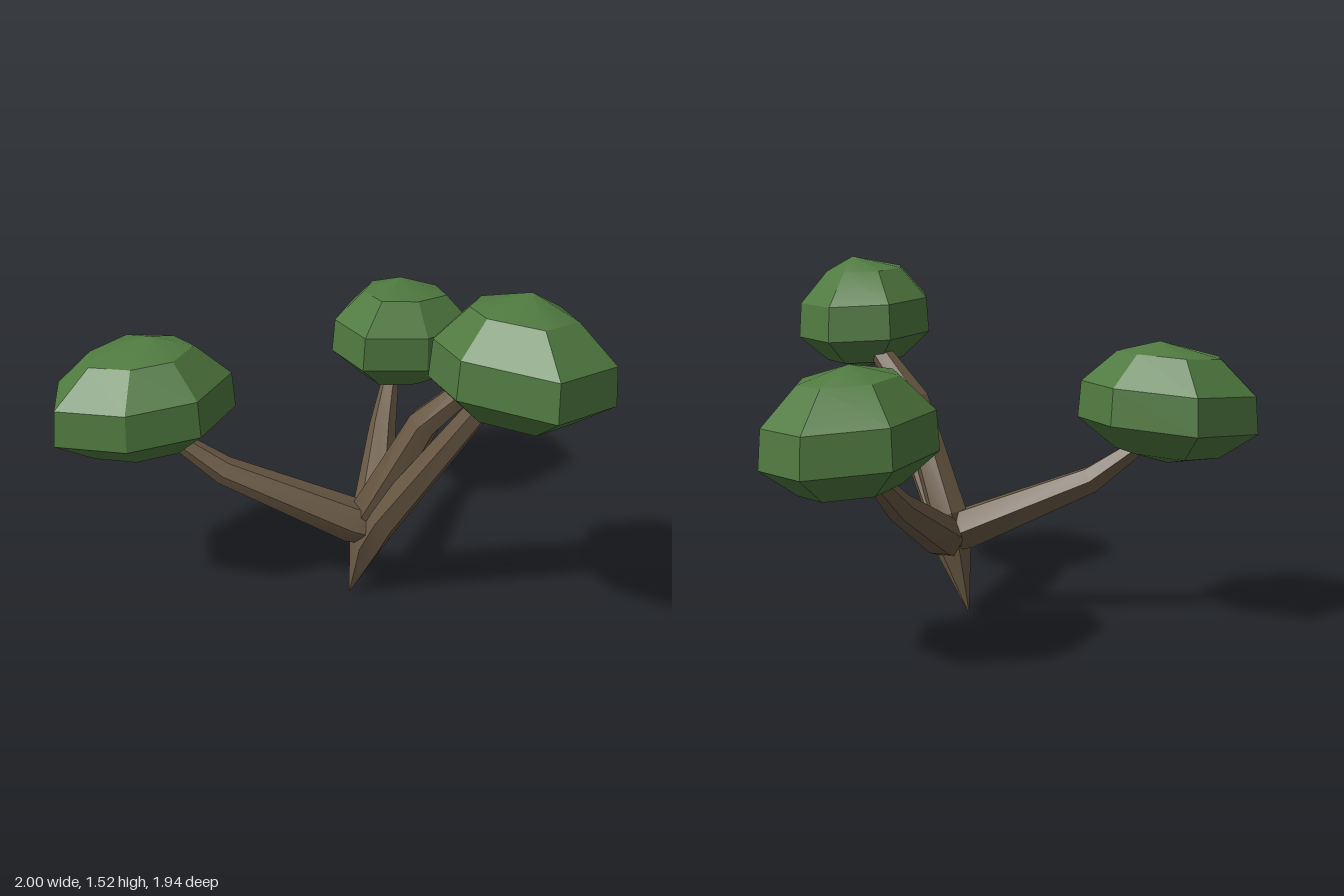
import * as THREE from 'three';
import { toCreasedNormals } from 'three/addons/utils/BufferGeometryUtils.js';

// Skin a stack of equal-sized rings, closed with a point at each end
function loft(rings, bottom, top) {
  const n = rings[0].length;
  const pts = [...rings.flat(), bottom, top];
  const index = [];
  const last = (rings.length - 1) * n;
  for (let i = 0; i < n; i++) {
    const j = (i + 1) % n;
    for (let r = 0; r < rings.length - 1; r++) {
      const a = r * n + i, b = r * n + j, c = b + n, d = a + n;
      index.push(a, d, c, a, c, b);
    }
    index.push(pts.length - 2, i, j, pts.length - 1, last + j, last + i);
  }
  const g = new THREE.BufferGeometry();
  g.setAttribute('position', new THREE.Float32BufferAttribute(pts.flatMap(p => p.toArray()), 3));
  g.setIndex(index);
  return g;
}

// Faceted limb along a path of [x, y, z, radius]
function limb(path, sides = 6) {
  const pts = path.map(p => new THREE.Vector3(p[0], p[1], p[2]));
  const last = pts.length - 1;
  const rings = pts.map((p, k) => {
    const t = pts[Math.min(k + 1, last)].clone().sub(pts[Math.max(k - 1, 0)]).normalize();
    const u = new THREE.Vector3(0, 1, 0).addScaledVector(t, -t.y).normalize();
    const v = u.clone().cross(t);
    return Array.from({ length: sides }, (_, i) => {
      const a = (i + 0.5) / sides * Math.PI * 2;
      return p.clone()
        .addScaledVector(u, Math.cos(a) * path[k][3])
        .addScaledVector(v, Math.sin(a) * path[k][3]);
    });
  });
  return toCreasedNormals(loft(rings, pts[0], pts[last]), 0.3);
}

// Leaf clump: a seven-sided outline [x, z] repeated at several heights and scales
function clump({ outline, centre, crown, base, tilt }) {
  const levels = [[0.58, 0.045], [1, 0.16], [0.965, 0.31], [0.57, 0.445]];
  const rings = levels.map(([s, h]) => outline.map(([x, z]) => {
    const dx = (x - centre[0]) * s, dz = (z - centre[1]) * s;
    return new THREE.Vector3(centre[0] + dx, base + h + dx * tilt[0] + dz * tilt[1], centre[1] + dz);
  }));
  return toCreasedNormals(loft(rings,
    new THREE.Vector3(centre[0], base, centre[1]),
    new THREE.Vector3(crown[0], base + 0.5, crown[1])), 0.45);
}

export function createModel() {
  const bark = new THREE.MeshStandardMaterial({ color: 0x6b5a45 });
  bark.name = 'bark brown';
  const leaf = new THREE.MeshStandardMaterial({ color: 0x507a40 });
  leaf.name = 'leaf green';

  const tree = new THREE.Group();
  tree.name = 'tree';
  const add = (name, geometry, material) => {
    const mesh = new THREE.Mesh(geometry, material);
    mesh.name = name;
    tree.add(mesh);
  };

  // Trunk rises from a pointed foot and leans into the front clump
  add('trunk', limb([
    [0.195, 0.0, 0.11, 0.003], [0.26, 0.27, 0.14, 0.078],
    [0.32, 0.42, 0.2, 0.075], [0.63, 1.1, 0.51, 0.048],
  ]), bark);
  // Side limbs, each bending once before its clump
  add('frontBranch', limb([
    [0.255, 0.29, 0.11, 0.06], [0.28, 0.42, 0.13, 0.085],
    [0.445, 0.9, 0.29, 0.066], [0.62, 1.12, 0.39, 0.045],
  ]), bark);
  add('rightBranch', limb([
    [0.285, 0.335, 0.14, 0.075], [0.2, 0.37, 0.125, 0.095],
    [-0.33, 0.605, 0.035, 0.06], [-0.54, 0.765, 0.0, 0.035],
  ]), bark);
  add('backBranch', limb([
    [0.28, 0.31, 0.13, 0.075], [0.3, 0.35, 0.05, 0.09],
    [0.42, 0.56, -0.35, 0.06], [0.5, 0.73, -0.56, 0.035],
  ]), bark);

  // Leaf clumps
  add('rightLeaves', clump({
    outline: [[-0.73, -0.35], [-0.4, -0.23], [-0.27, -0.01], [-0.43, 0.23],
      [-0.72, 0.28], [-1, 0.15], [-0.99, -0.13]],
    centre: [-0.64, -0.03], crown: [-0.6, -0.04], base: 0.69, tilt: [0.07, 0],
  }), leaf);
  add('frontLeaves', clump({
    outline: [[0.54, 0.25], [0.81, 0.25], [0.99, 0.49], [1, 0.81],
      [0.73, 0.97], [0.44, 0.73], [0.4, 0.48]],
    centre: [0.7, 0.57], crown: [0.75, 0.54], base: 1.02, tilt: [-0.05, 0.07],
  }), leaf);
  add('backLeaves', clump({
    outline: [[0.36, -0.9], [0.67, -0.97], [0.86, -0.79], [0.88, -0.51],
      [0.61, -0.33], [0.32, -0.33], [0.23, -0.61]],
    centre: [0.56, -0.63], crown: [0.55, -0.66], base: 0.65, tilt: [-0.06, 0.07],
  }), leaf);

  return tree;
}
